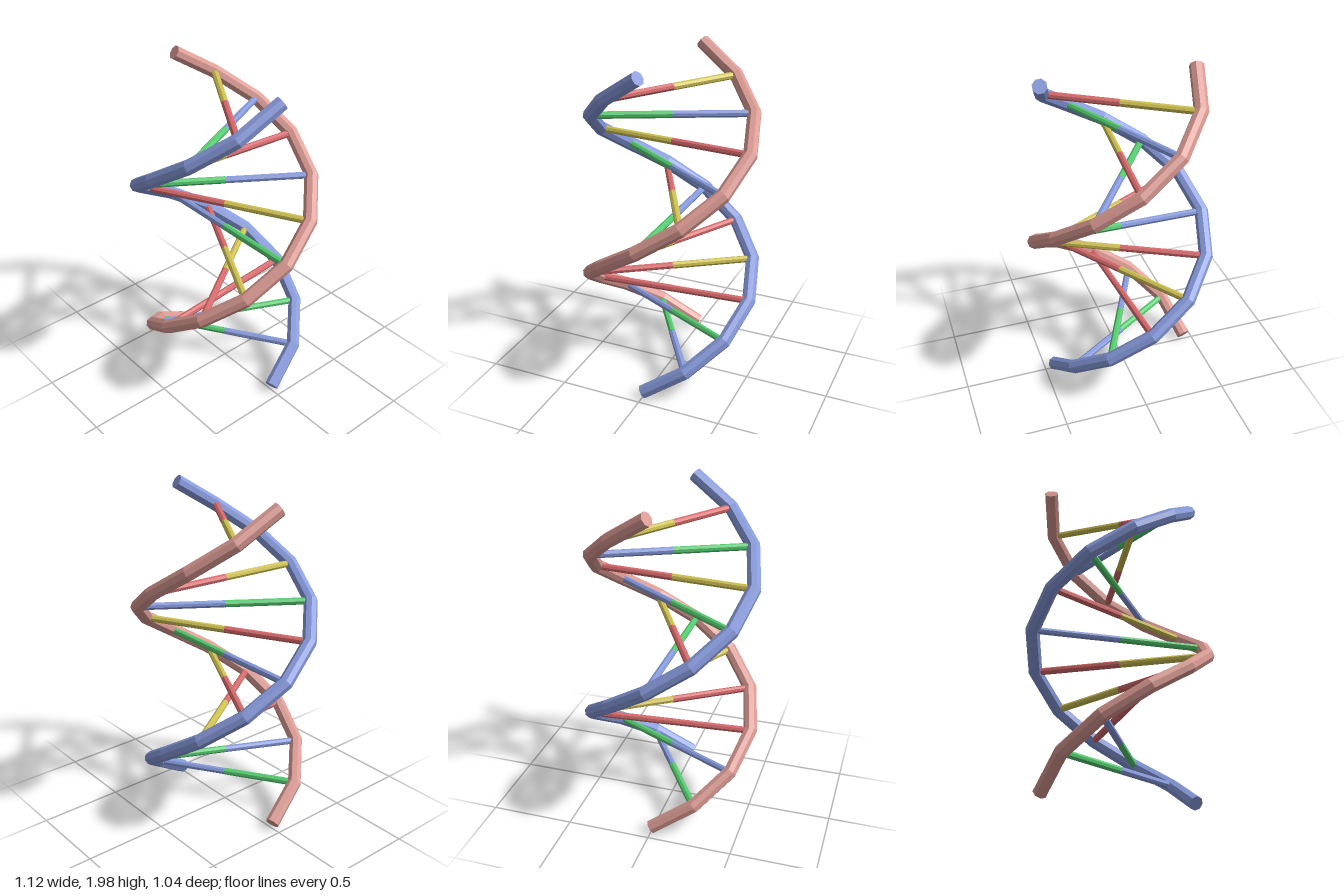
import * as THREE from 'three';

const STEPS = 12, SIDES = 8, TUBE = 0.042, RADIUS = 0.48, OFFSET = 0.04;

// Node k of a strand; side = 1 for the first strand, -1 for its half-turn twin
function node(k, side) {
  const a = (k / STEPS) * Math.PI * 2;
  return new THREE.Vector3(
    side * (RADIUS * Math.cos(a) - OFFSET),
    0.045 + 0.16 * k * (11.94 / 12),
    -side * RADIUS * Math.sin(a)
  );
}

// Faceted helix path with straight segments between the nodes
class StrandPath extends THREE.Curve {
  constructor(side) { super(); this.side = side; }
  getPoint(t, target = new THREE.Vector3()) {
    return target.copy(node(t * STEPS, this.side));
  }
  getPointAt(u, target) { return this.getPoint(u, target); }
  getTangentAt(u, target = new THREE.Vector3()) {
    const k = Math.round(u * STEPS), p = node(k, this.side);
    target.set(0, 0, 0);
    if (k > 0) target.add(p.clone().sub(node(k - 1, this.side)).normalize());
    if (k < STEPS) target.add(node(k + 1, this.side).sub(p).normalize());
    return target.normalize();
  }
}

// Tube along the path, closed with a fan at each end
function strandGeometry(side) {
  const geo = new THREE.TubeGeometry(new StrandPath(side), STEPS, TUBE, SIDES, false);
  const index = Array.from(geo.index.array);
  const last = STEPS * (SIDES + 1);
  for (let i = 1; i < SIDES - 1; i++) {
    index.push(0, i, i + 1, last, last + i + 1, last + i);
  }
  geo.setIndex(index);
  return geo;
}

export function createModel() {
  const group = new THREE.Group();
  const mat = (name, color) => {
    const m = new THREE.MeshStandardMaterial({ color, flatShading: true });
    m.name = name;
    return m;
  };
  const blue = mat('blue', 0x879add);
  const pink = mat('pink', 0xdb9a93);
  const red = mat('red', 0xd86a6c);
  const green = mat('green', 0x55cc70);
  const yellow = mat('yellow', 0xd0c252);

  // Two backbones
  for (const [name, side, m] of [['blueStrand', 1, blue], ['pinkStrand', -1, pink]]) {
    const strand = new THREE.Mesh(strandGeometry(side), m);
    strand.name = name;
    group.add(strand);
  }

  // Rungs, bottom to top: colour beside the blue strand, colour beside the pink one
  const rungs = [
    [blue, green], [green, blue], [red, red], [yellow, red], [red, yellow], [blue, green],
    [red, yellow], [green, blue], [yellow, red], [green, blue], [red, yellow],
  ];
  const up = new THREE.Vector3(0, 1, 0);
  rungs.forEach((colours, i) => {
    const rung = new THREE.Group();
    rung.name = 'rung' + (i + 1);
    [1, -1].forEach((side, j) => {
      const end = node(i + 1, side);
      const y = end.y;
      end.y = 0;
      const length = end.length() - 0.033;
      const dir = end.normalize();
      const half = new THREE.Mesh(new THREE.CylinderGeometry(0.021, 0.021, length, 8), colours[j]);
      half.name = j ? 'pinkSideHalf' : 'blueSideHalf';
      half.quaternion.setFromUnitVectors(up, dir);
      half.position.copy(dir).multiplyScalar(length / 2).setY(y);
      rung.add(half);
    });
    group.add(rung);
  });
  return group;
}
